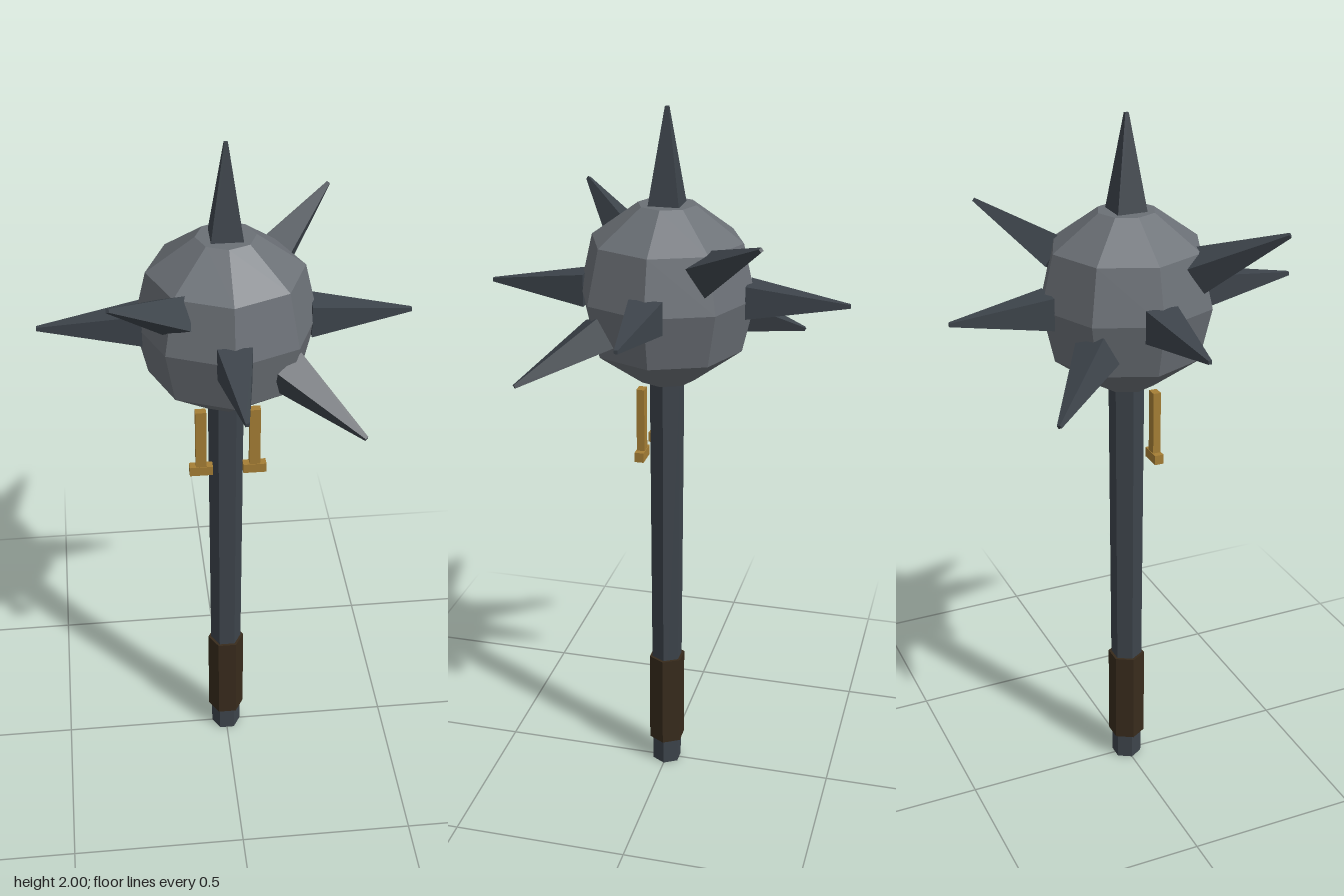
import * as THREE from 'three';

const flat = (name, color) => {
  const m = new THREE.MeshStandardMaterial({ color, flatShading: true });
  m.name = name;
  return m;
};

export function createModel() {
  const steel = flat('steel', 0x6b7076);
  const iron = flat('darkIron', 0x3d444b);
  const leather = flat('leather', 0x382b1c);
  const brass = flat('brass', 0xa57e35);

  const mace = new THREE.Group();
  mace.name = 'spikedMace';
  const add = (name, geometry, material, parent = mace) => {
    const mesh = new THREE.Mesh(geometry, material);
    mesh.name = name;
    parent.add(mesh);
    return mesh;
  };

  // Six-sided shaft and wrapped grip, corners pointing to the sides
  const hexRod = (name, rTop, rBottom, y0, y1, material) => {
    const g = new THREE.CylinderGeometry(rTop, rBottom, y1 - y0, 6);
    g.rotateY(Math.PI / 2);
    add(name, g, material).position.y = (y0 + y1) / 2;
  };
  hexRod('shaft', 0.05, 0.044, 0, 1.3, iron);
  hexRod('grip', 0.054, 0.054, 0.08, 0.365, leather);

  // Eight-sided faceted head
  const head = new THREE.Group();
  head.name = 'head';
  head.position.y = 1.5;
  mace.add(head);
  const profile = [[0, -0.245], [0.08, -0.245], [0.21, -0.15], [0.245, 0],
    [0.21, 0.15], [0.08, 0.245], [0, 0.245]].map(([r, y]) => new THREE.Vector2(r, y));
  add('ball', new THREE.LatheGeometry(profile, 8), steel, head);

  // Square spikes: top, four around the middle, and four slanted
  const spikeGeometry = new THREE.CylinderGeometry(0.007, 0.064, 0.275, 4);
  spikeGeometry.rotateY(Math.PI / 4);
  spikeGeometry.translate(0, 0.225 + 0.1375, 0);
  const directions = [
    [0, 1, 0], [1, 0, 0], [-1, 0, 0], [0, 0, 1], [0, 0, -1],
    [-0.7, 0.5, 0.7], [0.7, 0.5, -0.7], [0.7, -0.39, 0.7], [-0.7, -0.39, -0.7],
  ];
  for (const direction of directions) {
    const d = new THREE.Vector3(...direction).normalize();
    const helper = Math.abs(d.x) > 0.9 ? new THREE.Vector3(0, 0, 1) : new THREE.Vector3(1, 0, 0);
    const u = new THREE.Vector3().crossVectors(d, helper).normalize();
    const w = new THREE.Vector3().crossVectors(u, d);
    const spike = add('spike', spikeGeometry, iron, head);
    spike.quaternion.setFromRotationMatrix(new THREE.Matrix4().makeBasis(u, d, w));
  }

  // Pair of brass pendants below the head
  for (const side of [-1, 1]) {
    const pendant = new THREE.Group();
    pendant.name = side > 0 ? 'leftPendant' : 'rightPendant';
    pendant.position.set(side * 0.075, 0, 0.053);
    mace.add(pendant);
    add('pendantBar', new THREE.BoxGeometry(0.03, 0.19, 0.022), brass, pendant).position.y = 1.15;
    add('pendantFoot', new THREE.BoxGeometry(0.065, 0.028, 0.026), brass, pendant).position.y = 1.05;
  }

  return mace;
}
